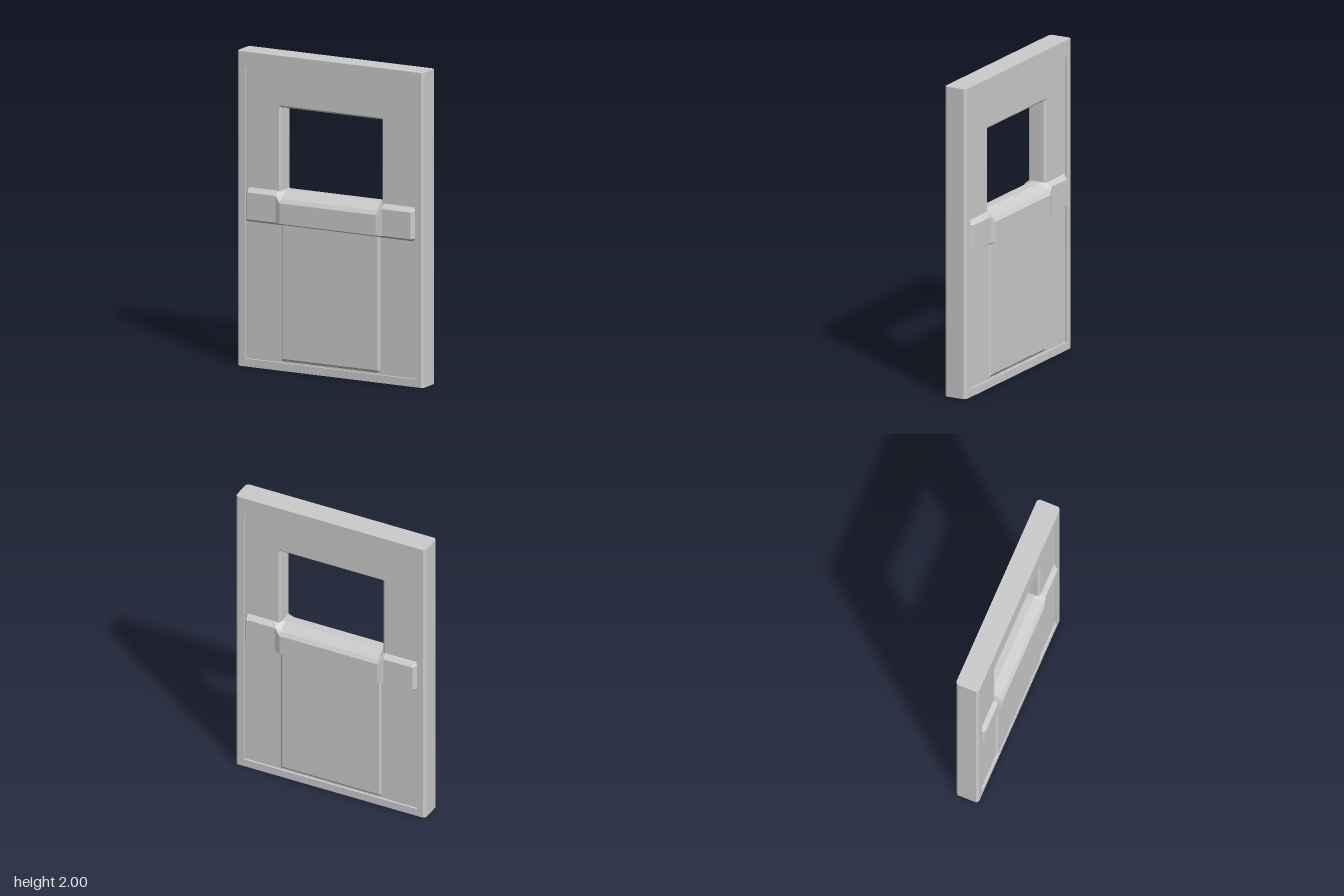
import * as THREE from 'three';

const material = new THREE.MeshStandardMaterial({ color: 0xcccccc, flatShading: true });

// Skin a solid through cross-sections along x. Each section is [x, [[z, y], ...]],
// listed bottom to top on the front and mirrored to the back.
function loft(sections) {
  const rings = sections.map(([x, half]) => {
    const front = half.map(([z, y]) => [x, y, z]);
    const back = half.map(([z, y]) => [x, y, -z]).reverse();
    return [...front, ...back];
  });
  const pos = [];
  for (let i = 0; i < rings.length - 1; i++) {
    const n = rings[i].length;
    for (let j = 0; j < n; j++) {
      const k = (j + 1) % n;
      const a = rings[i][j], b = rings[i + 1][j], c = rings[i + 1][k], d = rings[i][k];
      pos.push(...a, ...b, ...c, ...a, ...c, ...d);
    }
  }
  const g = new THREE.BufferGeometry();
  g.setAttribute('position', new THREE.Float32BufferAttribute(pos, 3));
  g.computeVertexNormals();
  return g;
}

// Mirror a list of sections given from the +x end towards the middle
function symmetric(ends) {
  return [...ends.map(([x, h]) => [-x, h]), ...[...ends].reverse()];
}

export function createModel() {
  const door = new THREE.Group();
  door.name = 'door';
  const add = (name, geometry) => {
    const mesh = new THREE.Mesh(geometry, material);
    mesh.name = name;
    door.add(mesh);
    return mesh;
  };

  const W = 0.662, T = 0.077, C = 0.015; // half width, half thickness, chamfer
  const inX = 0.603, inBottom = 0.05, inTop = 1.895; // recess outline
  const floorZ = 0.062; // recessed panel surface

  // Side stiles with chamfered outer edges
  for (const side of [1, -1]) {
    const outline = [[inX, -T], [W - C, -T], [W, -T + C], [W, T - C], [W - C, T], [inX, T]];
    const shape = new THREE.Shape(outline.map(([x, z]) => new THREE.Vector2(side * x, -z)));
    const g = new THREE.ExtrudeGeometry(shape, { depth: 2, bevelEnabled: false });
    g.rotateX(-Math.PI / 2);
    add(side > 0 ? 'leftStile' : 'rightStile', g);
  }

  // Top and bottom rails
  const rail = (name, y0, y1) =>
    add(name, new THREE.BoxGeometry(2 * inX, y1 - y0, 2 * T)).position.set(0, (y0 + y1) / 2, 0);
  rail('bottomRail', 0, inBottom);
  rail('topRail', inTop, 2);

  // Recessed panel with a chamfered window opening
  const rect = (P, x, y0, y1) => {
    const p = new P();
    p.moveTo(-x, y0);
    p.lineTo(x, y0);
    p.lineTo(x, y1);
    p.lineTo(-x, y1);
    p.closePath();
    return p;
  };
  const panel = rect(THREE.Shape, inX, inBottom, inTop);
  const hole = new THREE.Path();
  hole.setFromPoints([
    [-0.37, 1.05], [-0.37, 1.672], [-0.362, 1.68], [0.362, 1.68], [0.37, 1.672], [0.37, 1.05],
  ].map(([x, y]) => new THREE.Vector2(x, y)));
  hole.closePath();
  panel.holes.push(hole);
  const bevel = 0.012;
  const panelGeometry = new THREE.ExtrudeGeometry(panel, {
    depth: 2 * (floorZ - bevel), bevelEnabled: true, bevelSegments: 1,
    bevelSize: bevel, bevelThickness: bevel,
  });
  panelGeometry.translate(0, 0, -(floorZ - bevel));
  add('recessedPanel', panelGeometry);

  // Raised lower panel on both faces
  const buried = 0.056, raised = 0.074;
  add('raisedLowerPanel', loft(symmetric([
    [0.357, [[buried, 0.052], [buried, 0.076], [buried, 1], [buried, 1.02]]],
    [0.337, [[buried, 0.052], [raised, 0.076], [raised, 1], [buried, 1.02]]],
  ])));

  // Crossbar running through the door, thickened into a sill below the window
  const wing = [[0.06, 0.92], [0.093, 0.94], [0.093, 1.11], [0.077, 1.125], [0.06, 1.14]];
  const sill = [[0.06, 0.92], [0.107, 0.94], [0.107, 1.07], [0.09, 1.095], [0.03, 1.14]];
  add('crossbar', loft(symmetric([
    [0.603, wing.map(([, y]) => [0.058, y])],
    [0.58, wing],
    [0.378, wing],
    [0.34, sill],
  ])));

  return door;
}
